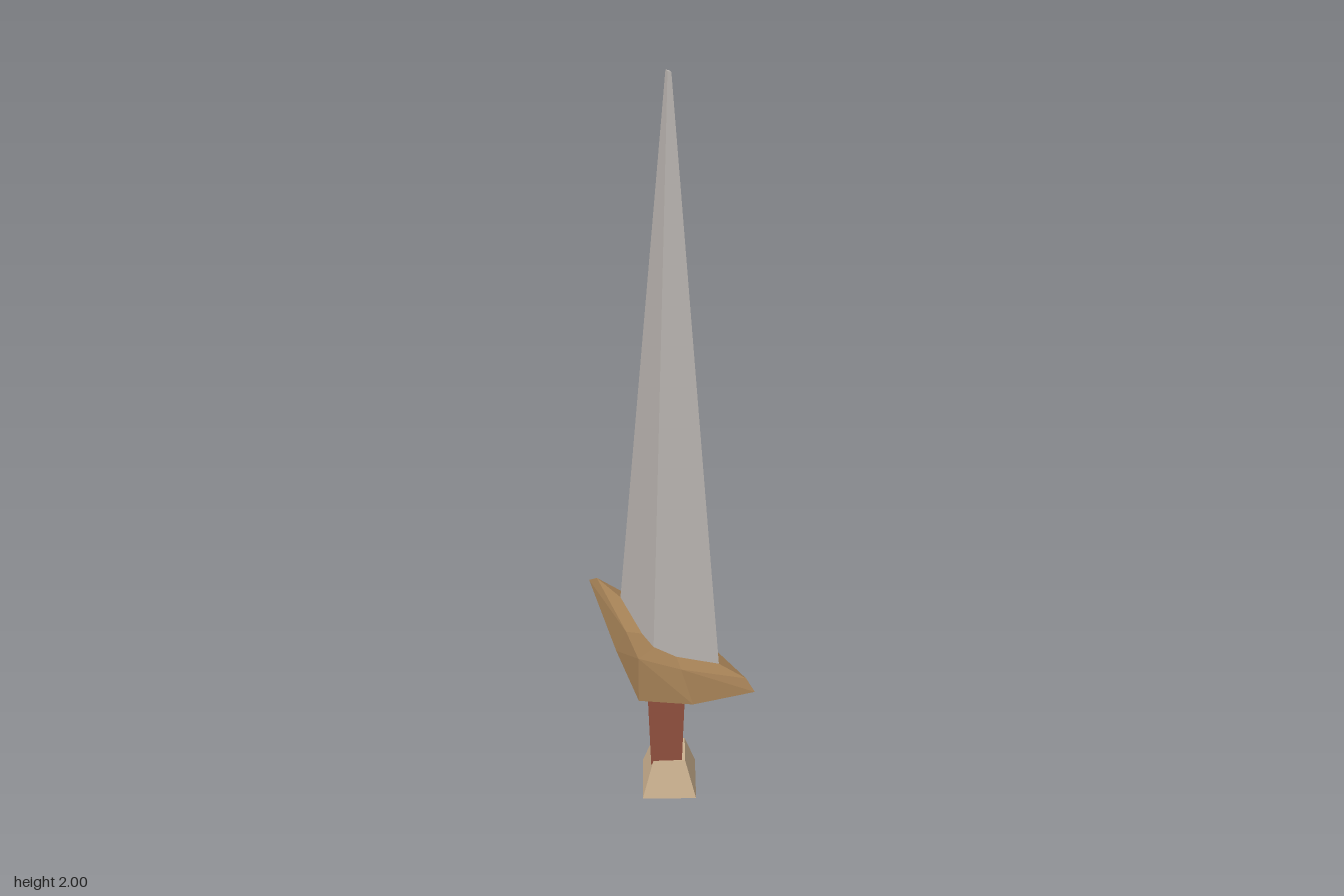
import * as THREE from 'three';

const flat = (name, color) => {
  const m = new THREE.MeshStandardMaterial({ color, flatShading: true });
  m.name = name;
  return m;
};

// Builds one quarter of the crossguard and mirrors it into all four quadrants
function guardGeometry() {
  const p = {
    T: [0, 0.552, 0],                                                    // top centre
    U0: [0, 0.55, 0.104], U1: [0.092, 0.542, 0.054], U2: [0.248, 0.58, 0], // upper rim
    L0: [0, 0.413, 0.104], L1: [0.13, 0.453, 0.052], L2: [0.276, 0.556, 0], // lower rim
    B0: [0, 0.405, 0], B1: [0.05, 0.408, 0], B2: [0.14, 0.44, 0],        // keel
  };
  const faces = [
    'T U0 U1', 'T U1 U2',
    'U0 L0 L1', 'U0 L1 U1', 'U1 L1 L2', 'U1 L2 U2',
    'B0 B1 L0', 'B1 L1 L0', 'B1 B2 L1', 'B2 L2 L1',
  ];
  const out = [];
  for (const sx of [1, -1]) for (const sz of [1, -1]) {
    for (const f of faces) {
      const keys = f.split(' ');
      if (sx * sz < 0) keys.reverse();
      for (const k of keys) {
        const [x, y, z] = p[k];
        // the right-hand horn sits slightly higher
        const lift = sx < 0 ? 0.04 * x : 0;
        out.push(x * sx, y + lift, z * sz);
      }
    }
  }
  const g = new THREE.BufferGeometry();
  g.setAttribute('position', new THREE.Float32BufferAttribute(out, 3));
  g.computeVertexNormals();
  return g;
}

export function createModel() {
  const group = new THREE.Group();
  group.name = 'dagger';
  const add = (name, geometry, material) => {
    const mesh = new THREE.Mesh(geometry, material);
    mesh.name = name;
    group.add(mesh);
    return mesh;
  };

  // Blade: long tapering diamond section with a blunt tip
  const blade = add('blade', new THREE.CylinderGeometry(0.008, 0.172, 1.5, 4),
    flat('steel', 0xb5b0ac));
  blade.geometry.scale(1, 1, 0.305);
  blade.position.set(-0.002, 1.25, 0);

  // Crossguard with upswept horns
  add('crossguard', guardGeometry(), flat('bronze', 0xa17e54));

  // Grip: four-sided, slightly wider at the top
  const grip = add('grip', new THREE.CylinderGeometry(0.067, 0.056, 0.27, 4),
    flat('redLeather', 0x93523f));
  grip.geometry.scale(0.93, 1, 1);
  grip.position.set(-0.004, 0.295, 0.004);

  // Pommel: faceted gem shape with a pointed foot
  const profile = [[0, 0], [0.095, 0.067], [0.056, 0.173], [0, 0.173]]
    .map(([r, y]) => new THREE.Vector2(r, y));
  add('pommel', new THREE.LatheGeometry(profile, 4), flat('paleBrass', 0xcab08f));

  return group;
}
